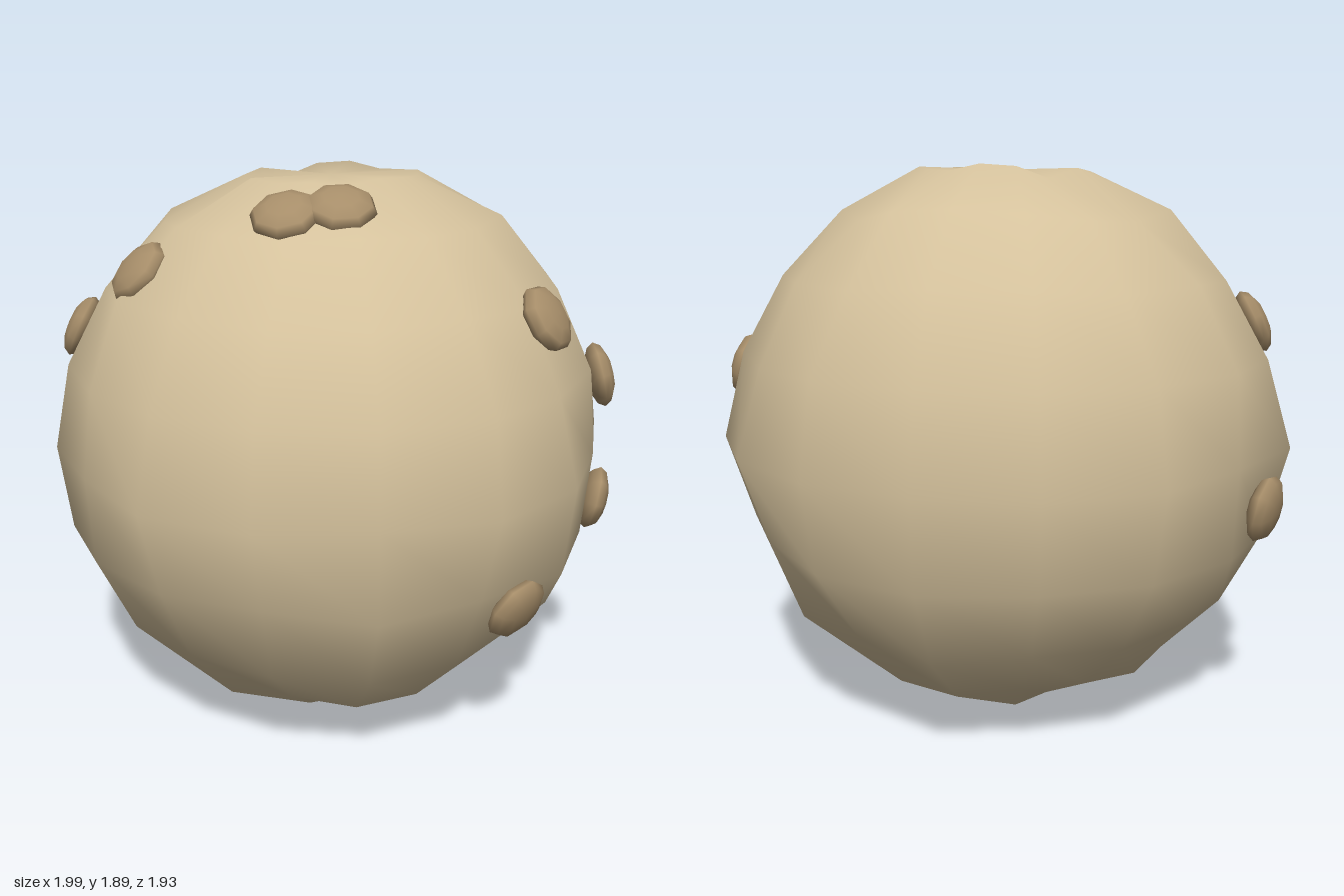
import * as THREE from 'three';

const CENTER_Y = 0.95;
const COLS = 16, ROWS = 10;

// Lumpy radius around the equator, column by column (starting at -x, turning through +z)
const EQUATOR = [1, 0.965, 0.926, 0.977, 0.965, 0.925, 0.976, 0.965,
  0.93, 1, 0.99, 0.98, 0.97, 0.99, 0.99, 0.94];

// Lumpy radius from top to bottom along the four main meridians
const MERIDIANS = {
  0: [0.96, 0.974, 0.946, 0.96, 1, 0.97, 0.966, 0.965, 0.963],
  4: [0.97, 0.95, 0.94, 0.97, 0.965, 0.92, 0.96, 0.94, 0.98],
  8: [0.97, 0.99, 0.96, 0.95, 0.93, 0.95, 0.99, 0.95, 1],
  12: [0.985, 0.99, 0.98, 0.97, 0.97, 0.99, 0.99, 0.97, 0.96],
};

// Repeatable noise in the range -1..1
function noise(i, j) {
  const s = Math.sin(i * 127.1 + j * 311.7) * 43758.5453;
  return (s - Math.floor(s)) * 2 - 1;
}

function radiusAt(col, row) {
  if (row === 0) return 0.92;
  if (row === ROWS) return 0.92;
  if (MERIDIANS[col]) return MERIDIANS[col][row - 1];
  if (row === ROWS / 2) return EQUATOR[col];
  return 0.955 + 0.025 * noise(col, row);
}

// Round body with uneven bumps, keeping the soft normals of a ball
function bodyGeometry() {
  const geo = new THREE.SphereGeometry(1, COLS, ROWS);
  const pos = geo.attributes.position;
  const v = new THREE.Vector3();
  for (let k = 0; k < pos.count; k++) {
    const row = Math.floor(k / (COLS + 1));
    const col = (k % (COLS + 1)) % COLS;
    v.fromBufferAttribute(pos, k).multiplyScalar(radiusAt(col, row));
    pos.setXYZ(k, v.x, v.y, v.z);
  }
  return geo;
}

export function createModel() {
  const group = new THREE.Group();
  const skin = new THREE.MeshStandardMaterial({ color: 0xd4c19c });
  skin.name = 'pale skin';
  const brown = new THREE.MeshStandardMaterial({ color: 0xa68d69 });
  brown.name = 'brown spot';

  const body = new THREE.Mesh(bodyGeometry(), skin);
  body.name = 'body';
  body.position.y = CENTER_Y;
  group.add(body);

  // Flattened buttons lying on the skin
  const spots = [
    [-0.03, 1.79, 0.45], [0.13, 1.81, 0.40], [-0.51, 1.60, 0.47],
    [-0.84, 1.35, 0.21], [0.76, 1.47, 0.26], [0.93, 1.18, -0.19],
    [0.94, 0.75, -0.10], [0.73, 0.58, 0.50], [-0.94, 0.79, -0.21],
  ];
  const spotGeo = new THREE.SphereGeometry(0.115, 8, 6);
  spotGeo.scale(1, 0.42, 1);
  const up = new THREE.Vector3(0, 1, 0);
  spots.forEach(([x, y, z], i) => {
    const spot = new THREE.Mesh(spotGeo, brown);
    spot.name = `spot${i + 1}`;
    spot.position.set(x, y, z);
    spot.quaternion.setFromUnitVectors(up, new THREE.Vector3(x, y - CENTER_Y, z).normalize());
    group.add(spot);
  });
  return group;
}
